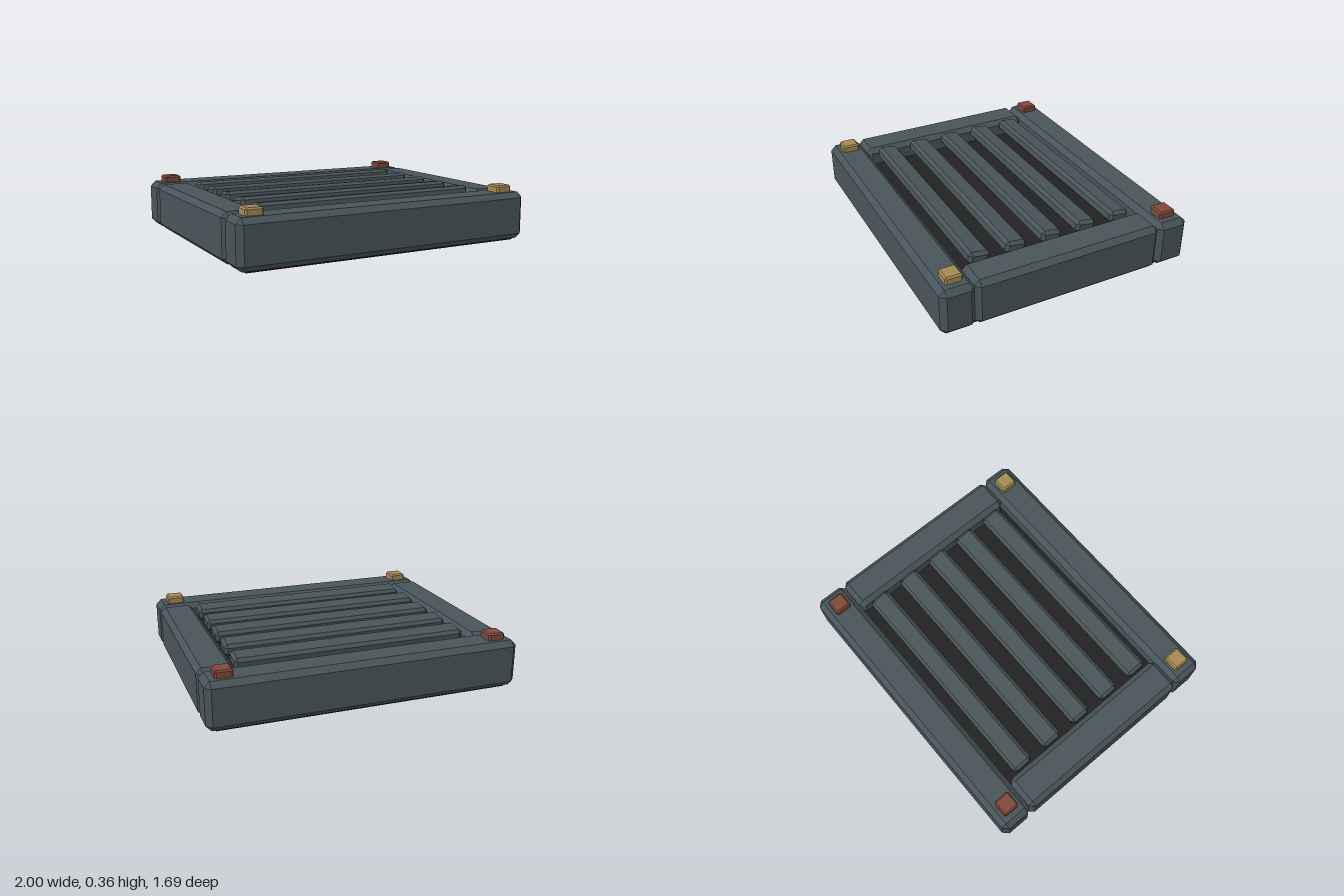
import * as THREE from 'three';
import { ConvexGeometry } from 'three/addons/geometries/ConvexGeometry.js';

// Box with all edges bevelled by c
function bevelBox(w, h, d, c) {
  const points = [];
  for (const x of [-1, 1]) for (const y of [-1, 1]) for (const z of [-1, 1]) {
    const [X, Y, Z] = [x * w / 2, y * h / 2, z * d / 2];
    points.push(
      new THREE.Vector3(X, Y - y * c, Z - z * c),
      new THREE.Vector3(X - x * c, Y, Z - z * c),
      new THREE.Vector3(X - x * c, Y - y * c, Z));
  }
  return new ConvexGeometry(points);
}

function material(name, color) {
  const m = new THREE.MeshStandardMaterial({ color, flatShading: true });
  m.name = name;
  return m;
}

export function createModel() {
  const group = new THREE.Group();
  const slate = material('slate metal', 0x485459);
  const dark = material('dark core', 0x222222);
  const gold = material('gold bolt', 0xa58a54);
  const red = material('red bolt', 0x80493a);

  const add = (name, geometry, mat, x, y, z) => {
    const mesh = new THREE.Mesh(geometry, mat);
    mesh.name = name;
    mesh.position.set(x, y, z);
    group.add(mesh);
    return mesh;
  };

  // Dark core forming the underside and the floor below the slats
  add('core', new THREE.BoxGeometry(1.88, 0.2, 1.6), dark, 0, 0.1, 0);

  // Frame: full-width front and back rails with side rails between them
  const longRail = bevelBox(2, 0.305, 0.22, 0.035);
  const sideRail = bevelBox(0.23, 0.305, 1.26, 0.033);
  add('frontRail', longRail, slate, 0, 0.1625, 0.735);
  add('backRail', longRail, slate, 0, 0.1625, -0.735);
  add('leftRail', sideRail, slate, 0.885, 0.1625, 0);
  add('rightRail', sideRail, slate, -0.885, 0.1625, 0);

  // Tilted vent slats, front edge raised
  const slat = bevelBox(1.52, 0.08, 0.14, 0.02);
  for (let i = -2; i <= 2; i++) {
    add('slat', slat, slate, 0, 0.291, i * 0.245).rotation.x = -0.14;
  }

  // Corner bolts: gold in front, red at the back
  const bolt = bevelBox(0.11, 0.08, 0.11, 0.01);
  for (const x of [-0.875, 0.875]) {
    add('frontBolt', bolt, gold, x, 0.32, 0.732);
    add('backBolt', bolt, red, x, 0.32, -0.732);
  }
  return group;
}
